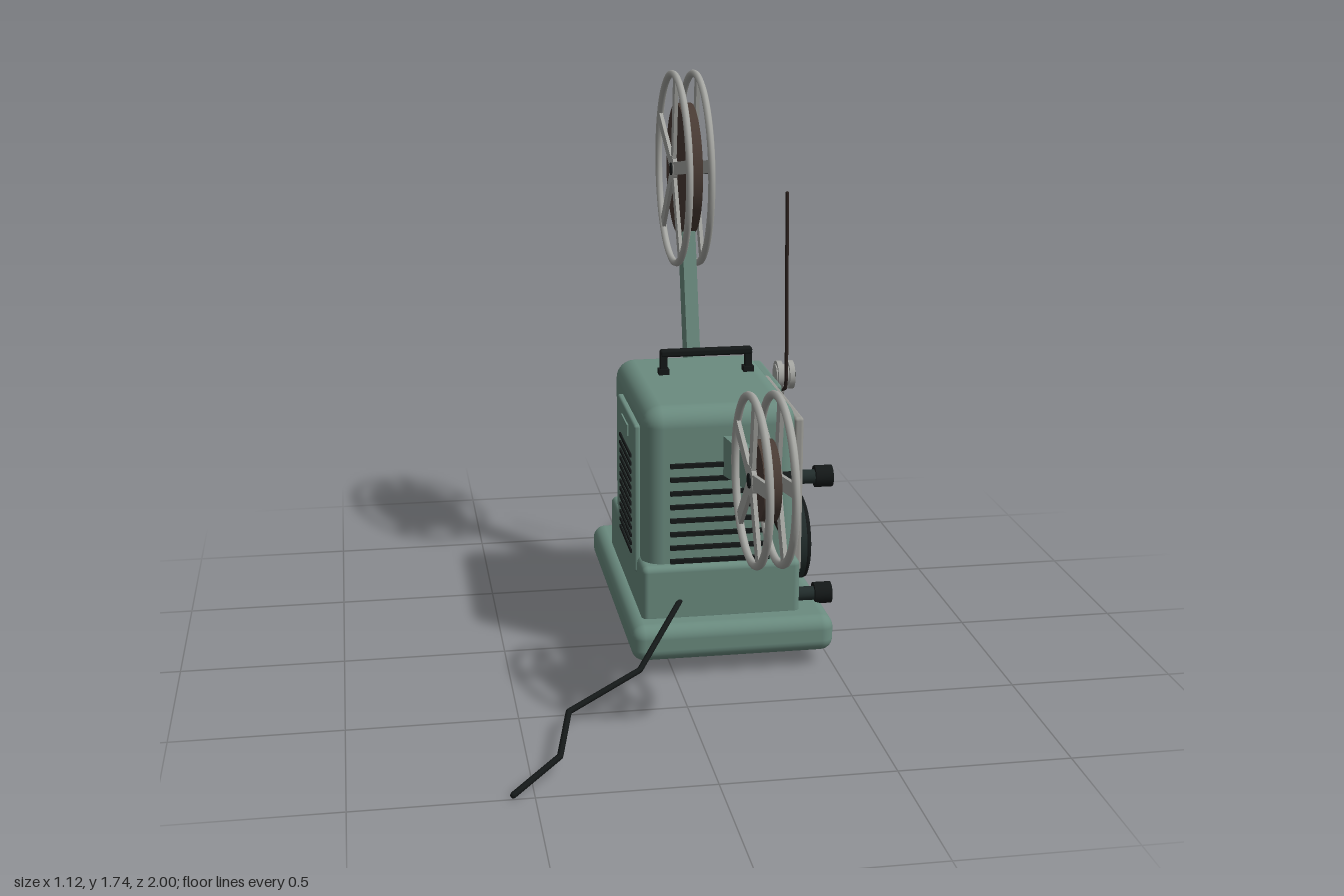
import * as THREE from 'three';
import { RoundedBoxGeometry } from 'three/addons/geometries/RoundedBoxGeometry.js';
import { mergeGeometries } from 'three/addons/utils/BufferGeometryUtils.js';

const material = (name, color) => {
  const m = new THREE.MeshStandardMaterial({ color });
  m.name = name;
  return m;
};

export function createModel() {
  const green = material('green enamel', 0x6b8c80);
  const grey = material('grey panel', 0x999994);
  const silver = material('silver metal', 0xa6a7a3);
  const dark = material('dark plastic', 0x222d2c);
  const black = material('black', 0x141818);
  const brown = material('film brown', 0x4a3c35);
  const strandBrown = material('film strand', 0x2b211e);

  const model = new THREE.Group();
  model.name = 'filmProjector';
  // Side frame: local x runs to the back, local z runs outward to the model's left
  const side = new THREE.Group();
  side.name = 'sideParts';
  side.rotation.y = Math.PI / 2;
  model.add(side);

  const add = (parent, name, geo, mat, x = 0, y = 0, z = 0) => {
    const m = new THREE.Mesh(geo, mat);
    m.name = name;
    m.position.set(x, y, z);
    parent.add(m);
    return m;
  };
  const box = (w, h, d) => new THREE.BoxGeometry(w, h, d);
  const rounded = (w, h, d, r) => new RoundedBoxGeometry(w, h, d, 4, r);
  const disc = (r, depth, n = 32) => new THREE.CylinderGeometry(r, r, depth, n).rotateX(Math.PI / 2);
  const barrel = (r, len) => new THREE.CylinderGeometry(r, r, len, 32).rotateZ(Math.PI / 2);

  // Straight-segmented line through points, with round joints
  const polyline = (parent, name, pts, r, mat) => {
    const v = pts.map(p => new THREE.Vector3(...p));
    const parts = [];
    v.forEach((p, i) => {
      parts.push(new THREE.SphereGeometry(r, 8, 6).translate(p.x, p.y, p.z));
      if (i) parts.push(new THREE.TubeGeometry(new THREE.LineCurve3(v[i - 1], p), 1, r, 8));
    });
    add(parent, name, mergeGeometries(parts), mat);
  };

  // Body
  add(model, 'base', rounded(0.63, 0.115, 0.985, 0.04), green, 0.185, 0.108, -0.212);
  add(model, 'lowerBody', rounded(0.495, 0.185, 0.71, 0.02), green, 0.158, 0.24, -0.152);
  add(model, 'upperBody', rounded(0.475, 0.575, 0.66, 0.06), green, 0.158, 0.537, -0.153);

  // Carrying handle
  add(model, 'handleBar', rounded(0.3, 0.024, 0.03, 0.008), black, 0.185, 0.893, -0.238);
  for (const x of [0.047, 0.323]) {
    add(model, 'handlePost', box(0.022, 0.07, 0.026), black, x, 0.855, -0.238);
    add(model, 'handleFoot', box(0.034, 0.02, 0.034), black, x, 0.832, -0.238);
  }

  // Front vents
  for (let i = 0; i < 8; i++)
    add(model, 'frontVent', box(0.31, 0.013, 0.02), black, 0.155, 0.342 + i * 0.0437, 0.18);

  // Vent cover on the plain side
  add(model, 'ventCover', rounded(0.02, 0.475, 0.37, 0.008), green, -0.088, 0.518, -0.09);
  for (let i = 0; i < 13; i++)
    add(model, 'coverVent', box(0.008, 0.011, 0.24), black, -0.099, 0.33 + i * 0.026, -0.08);
  add(model, 'coverPlate', box(0.008, 0.035, 0.13), green, -0.099, 0.705, -0.09);

  // Grey control panel with small punched marks
  add(side, 'controlPanel', rounded(0.51, 0.5, 0.03, 0.01), grey, 0.125, 0.517, 0.41);
  let seed = 11;
  const rand = () => (seed = (seed * 16807) % 2147483647) / 2147483647;
  const marks = [];
  for (let i = 0; i < 64; i++) {
    const w = 0.008 + 0.016 * rand();
    marks.push(box(w, 0.007, 0.004).translate(-0.09 + 0.43 * rand(), 0.3 + 0.43 * rand(), 0.426));
  }
  add(side, 'panelMarks', mergeGeometries(marks), black);

  // Large ribbed lamp vent wheel
  add(side, 'ventWheel', disc(0.138, 0.045, 48), dark, 0.08, 0.31, 0.442);
  add(side, 'ventWheelRim', new THREE.TorusGeometry(0.127, 0.012, 8, 48), black, 0.08, 0.31, 0.464);
  for (let i = -3; i <= 3; i++) {
    const y = i * 0.029;
    add(side, 'ventWheelRib', box(2 * Math.sqrt(0.0115 - y * y), 0.012, 0.01), black, 0.08, 0.31 + y, 0.466);
  }

  // Control knobs
  for (const [u, y] of [[-0.095, 0.565], [-0.115, 0.185], [0.355, 0.255]]) {
    add(side, 'knob', disc(0.034, 0.055, 20), black, u, y, 0.496);
    add(side, 'knobStem', disc(0.022, 0.08, 16), dark, u, y, 0.435);
    add(side, 'knobCap', disc(0.01, 0.006, 12), grey, u, y, 0.524);
  }

  // Film mechanism plate
  add(side, 'mechanismPlate', rounded(0.335, 0.485, 0.04, 0.012), green, 0.548, 0.488, 0.45);
  add(side, 'plateMount', box(0.09, 0.4, 0.06), green, 0.425, 0.5, 0.41);

  // Film rollers
  const rollers = [[0.475, 0.74, 0.048], [0.63, 0.655, 0.037], [0.44, 0.605, 0.027],
    [0.51, 0.31, 0.04], [0.72, 0.375, 0.029], [0.665, 0.24, 0.037]];
  for (const [u, y, r] of rollers) {
    add(side, 'rollerCore', disc(r * 0.75, 0.06, 20), silver, u, y, 0.495);
    for (const w of [0.478, 0.517]) add(side, 'rollerFlange', disc(r, 0.018, 28), silver, u, y, w);
    add(side, 'rollerScrew', disc(0.01, 0.012, 12), black, u, y, 0.53);
  }

  // Film gate
  add(side, 'filmGate', rounded(0.062, 0.185, 0.08, 0.008), dark, 0.62, 0.5, 0.512);
  for (const y of [0.43, 0.57]) add(side, 'gateScrew', disc(0.007, 0.006, 10), silver, 0.62, y, 0.553);

  // Lens
  add(side, 'lensHousing', rounded(0.085, 0.155, 0.155, 0.015), dark, 0.73, 0.49, 0.425);
  add(side, 'lensBarrel', barrel(0.062, 0.13), dark, 0.825, 0.49, 0.425);
  add(side, 'lensFront', barrel(0.071, 0.05), dark, 0.874, 0.49, 0.425);
  for (const u of [0.8, 0.818, 0.836])
    add(side, 'lensRing', barrel(0.065, 0.005), green, u, 0.49, 0.425);
  add(side, 'lensGlass', barrel(0.054, 0.006), black, 0.9, 0.49, 0.425);

  // Reel: two spoked flanges around a roll of film
  const reel = (name, u, y, R, filmR) => {
    const g = new THREE.Group();
    g.name = name;
    g.position.set(u, y, 0.186);
    side.add(g);
    add(g, 'filmRoll', disc(filmR, 0.05, 48), brown);
    for (const w of [-0.036, 0.036]) {
      add(g, 'flangeRim', new THREE.TorusGeometry(R - 0.012, 0.012, 8, 64), silver, 0, 0, w);
      add(g, 'flangeHub', disc(0.045, 0.014), silver, 0, 0, w);
      for (let i = 0; i < 5; i++) {
        const s = add(g, 'spoke', box(R - 0.02, 0.042, 0.012).translate((R - 0.02) / 2, 0, 0), silver, 0, 0, w);
        s.rotation.z = THREE.MathUtils.degToRad(26 + i * 72);
      }
    }
    add(g, 'spindle', disc(0.021, 0.13, 20), black, 0, 0, 0.018);
  };
  reel('supplyReel', 0.667, 1.417, 0.327, 0.218);
  reel('takeUpReel', -0.667, 0.753, 0.25, 0.115);

  // Tapered reel arms with rounded tips
  const arm = (name, u0, y0, w0, u1, y1, w1) => {
    const L = Math.hypot(u1 - u0, y1 - y0);
    const s = new THREE.Shape();
    s.moveTo(0, -w0 / 2);
    s.lineTo(L, -w1 / 2);
    s.absarc(L, 0, w1 / 2, -Math.PI / 2, Math.PI / 2, false);
    s.lineTo(0, w0 / 2);
    s.closePath();
    const geo = new THREE.ExtrudeGeometry(s, { depth: 0.044, bevelEnabled: false });
    add(side, name, geo, green, u0, y0, 0.164).rotation.z = Math.atan2(y1 - y0, u1 - u0);
  };
  arm('supplyArm', 0.48, 0.7, 0.09, 0.667, 1.417, 0.085);
  arm('takeUpArm', -0.15, 0.668, 0.125, -0.667, 0.753, 0.09);
  add(side, 'armBracket', rounded(0.05, 0.1, 0.07, 0.012), green, 0.48, 0.71, 0.186);

  // Film strands
  const film = pts => polyline(side, 'filmStrand', pts, 0.006, strandBrown);
  film([[0.465, 1.36, 0.495], [0.43, 0.74, 0.495], [0.445, 0.7, 0.495], [0.595, 0.645, 0.495],
    [0.61, 0.58, 0.495], [0.6, 0.38, 0.495], [0.54, 0.33, 0.495]]);
  film([[0.53, 0.275, 0.495], [0.665, 0.205, 0.495], [0.5, 0.185, 0.495],
    [0.275, 0.17, 0.495], [0.11, 0.25, 0.48]]);
  film([[-0.65, 0.63, 0.22], [-0.175, 0.385, 0.36]]);

  // Power cord
  polyline(model, 'powerCord', [[0.03, 0.22, 0.195], [-0.125, 0.08, 0.385], [-0.365, 0.065, 0.61],
    [-0.42, 0.063, 0.885], [-0.558, 0.012, 0.992]], 0.009, black);

  return model;
}
